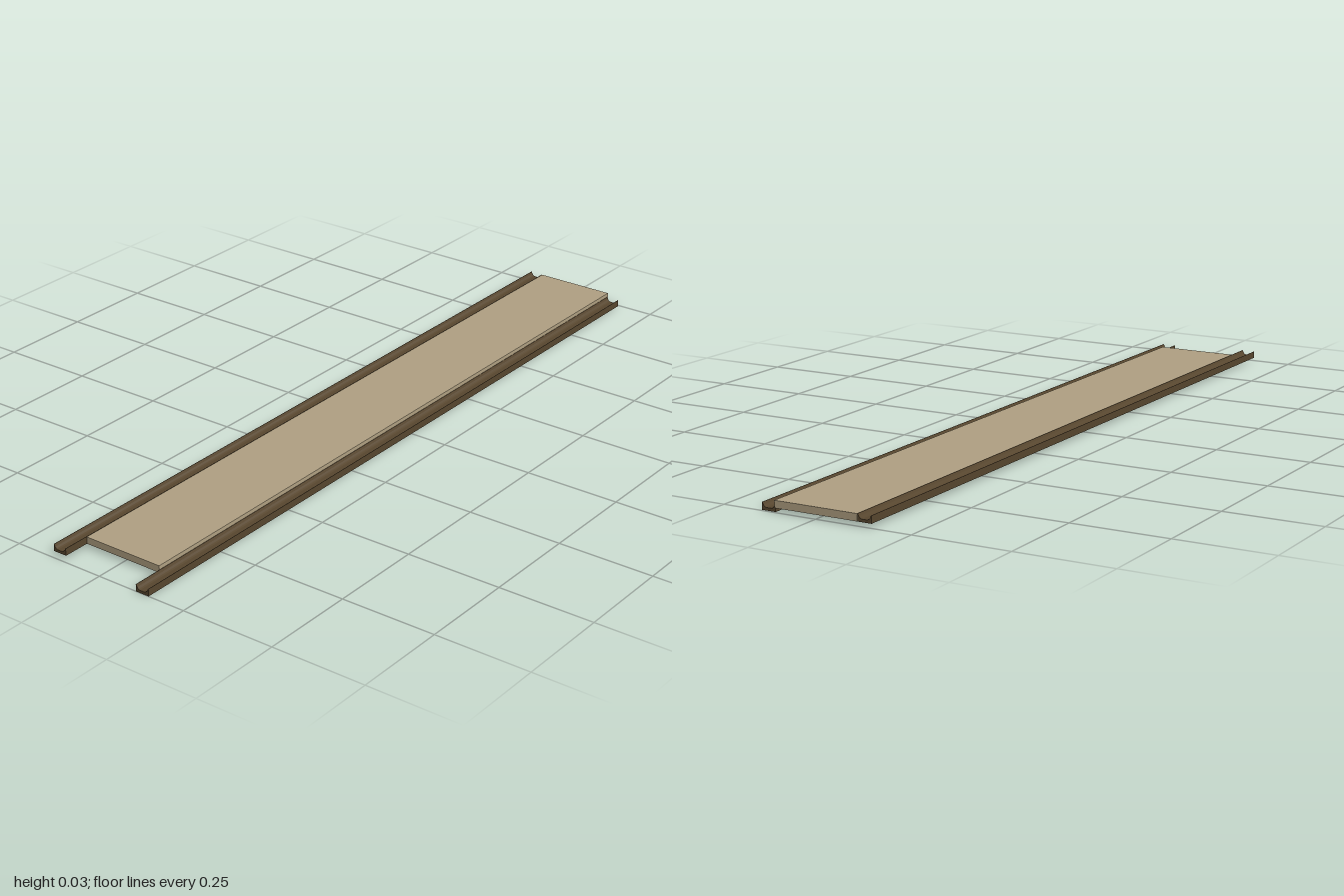
import * as THREE from 'three';

const slabMaterial = new THREE.MeshStandardMaterial({ color: 0xb0a082 });
slabMaterial.name = 'pale stone';
const gutterMaterial = new THREE.MeshStandardMaterial({ color: 0x57462e });
gutterMaterial.name = 'dark brown';

const W = 0.037; // gutter width
const H = 0.0185; // gutter height
const FLOOR = 0.007; // channel floor height

// Open channel: square block with a rounded trough along its top
function gutter(name, x, y, zBack, zFront) {
  const h = W / 2;
  const trough = [[h - 0.001, H], [0.0145, 0.0125], [0.011, 0.0085], [0.007, FLOOR]];
  const shape = new THREE.Shape();
  shape.moveTo(-h, 0);
  shape.lineTo(h, 0);
  shape.lineTo(h, H);
  for (const [px, py] of trough) shape.lineTo(px, py);
  for (const [px, py] of [...trough].reverse()) shape.lineTo(-px, py);
  shape.lineTo(-h, H);
  shape.closePath();
  const geometry = new THREE.ExtrudeGeometry(shape, { depth: zFront - zBack, bevelEnabled: false });
  const mesh = new THREE.Mesh(geometry, gutterMaterial);
  mesh.name = name;
  mesh.position.set(x, y, zBack);
  return mesh;
}

export function createModel() {
  const group = new THREE.Group();
  group.name = 'pavementWithGutters';

  // Flat walkway between the gutters
  const slab = new THREE.Mesh(new THREE.BoxGeometry(0.221, 0.018, 1.92), slabMaterial);
  slab.name = 'walkway';
  slab.position.set(0, 0.0195, -0.04);
  group.add(slab);

  // Right gutter is level with the walkway, left gutter sits lower
  group.add(gutter('rightGutter', -0.1295, 0.0105, -1, 0.99));
  group.add(gutter('leftGutter', 0.1295, 0, -0.995, 1));
  return group;
}
